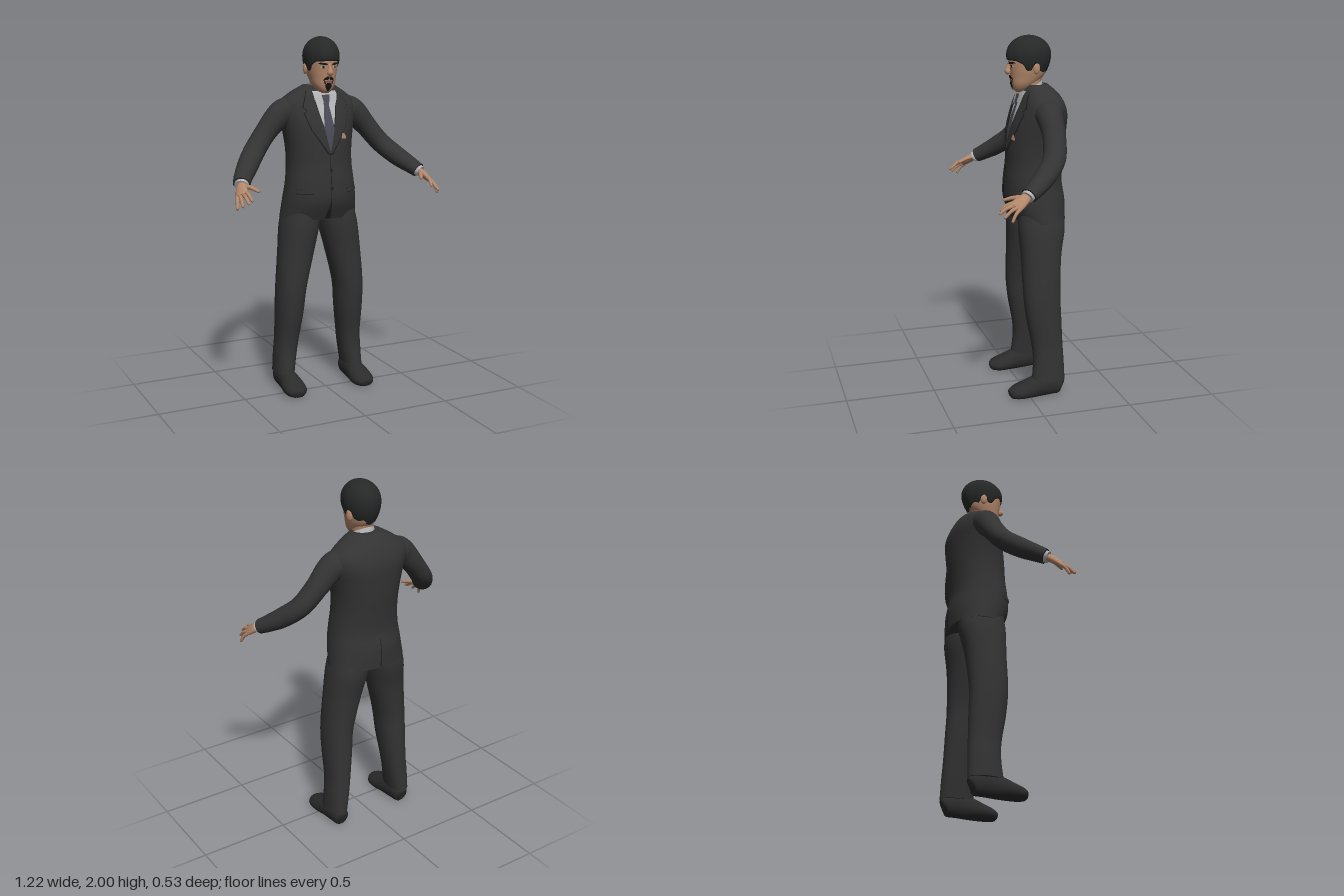
import * as THREE from 'three';

const mat = (name, color, side = THREE.FrontSide) => {
  const m = new THREE.MeshStandardMaterial({ color, side });
  m.name = name;
  return m;
};

export function createModel() {
  const model = new THREE.Group();
  const suit = mat('suit cloth', 0x333333);
  const seam = mat('seam', 0x1e1e1e);
  const hairMat = mat('hair', 0x262828, THREE.DoubleSide);
  const skin = mat('skin', 0xb4886b);
  const shirt = mat('shirt', 0xb6b6b8, THREE.DoubleSide);
  const tieMat = mat('tie', 0x4a4a58);
  const leather = mat('shoe leather', 0x2b2b2b);
  const black = mat('whiskers', 0x161414);
  const lipMat = mat('lips', 0x8c5a4b);
  const V = (x, y, z) => new THREE.Vector3(x, y, z);

  const add = (name, geo, material) => {
    const mesh = new THREE.Mesh(geo, material);
    mesh.name = name;
    model.add(mesh);
    return mesh;
  };

  // Skin over closed rings of points, with flat end caps
  const skinRings = (rings, caps = true) => {
    const pos = [], idx = [], n = rings[0].length;
    const push = p => pos.push(p.x, p.y, p.z) / 3 - 1;
    rings.forEach(r => r.forEach(push));
    for (let i = 0; i < rings.length - 1; i++) for (let j = 0; j < n; j++) {
      const a = i * n + j, b = i * n + (j + 1) % n;
      idx.push(a, b, a + n, b, b + n, a + n);
    }
    if (caps) [rings[0], rings[rings.length - 1]].forEach((r, end) => {
      const first = pos.length / 3;
      r.forEach(push);
      const c = push(r.reduce((s, p) => s.add(p), V(0, 0, 0)).divideScalar(n));
      for (let j = 0; j < n; j++) {
        const a = first + j, b = first + (j + 1) % n;
        end ? idx.push(c, a, b) : idx.push(c, b, a);
      }
    });
    const g = new THREE.BufferGeometry();
    g.setAttribute('position', new THREE.Float32BufferAttribute(pos, 3));
    g.setIndex(idx);
    g.computeVertexNormals();
    return g;
  };
  const spline = pts => new THREE.CatmullRomCurve3(pts, false, 'catmullrom', 0.5);

  // Upright body from horizontal sections [y, x, z, halfWidth, halfDepth]
  const column = (name, secs, material, { n = 2.2, seg = 48, steps = 40, caps = true } = {}) => {
    const centre = spline(secs.map(s => V(s[1], s[0], s[2])));
    const size = spline(secs.map(s => V(s[3], s[4], 0)));
    const at = t => ({ c: centre.getPoint(t), r: size.getPoint(t) });
    const pw = v => Math.sign(v) * Math.abs(v) ** (2 / n);
    const rings = Array.from({ length: steps + 1 }, (_, i) => {
      const { c, r } = at(i / steps);
      return Array.from({ length: seg }, (_, j) => {
        const a = j / seg * Math.PI * 2;
        return V(c.x + r.x * pw(Math.cos(a)), c.y, c.z - r.y * pw(Math.sin(a)));
      });
    });
    const mesh = add(name, skinRings(rings, caps), material);
    // depth of the front (side 1) or back (side -1) surface
    const surf = (x, y, side = 1) => {
      let lo = 0, hi = 1;
      for (let k = 0; k < 24; k++) { const m = (lo + hi) / 2; centre.getPoint(m).y < y ? lo = m : hi = m; }
      const { c, r } = at(lo);
      const q = Math.min(1, Math.abs((x - c.x) / r.x));
      return c.z + side * r.y * (1 - q ** n) ** (1 / n);
    };
    return { mesh, surf };
  };

  // Limb swept along points [x, y, z, halfWidth, halfHeight]
  const limb = (name, secs, material, { ref = V(0, 1, 0), seg = 20, steps = 24 } = {}) => {
    const path = spline(secs.map(s => V(s[0], s[1], s[2])));
    const size = spline(secs.map(s => V(s[3], s[4], 0)));
    const rings = Array.from({ length: steps + 1 }, (_, i) => {
      const t = i / steps, c = path.getPoint(t), r = size.getPoint(t), T = path.getTangent(t);
      const u = T.clone().cross(ref).normalize(), v = T.clone().cross(u);
      return Array.from({ length: seg }, (_, j) => {
        const a = j / seg * Math.PI * 2;
        return c.clone().addScaledVector(u, r.x * Math.cos(a)).addScaledVector(v, r.y * Math.sin(a));
      });
    });
    return add(name, skinRings(rings), material);
  };

  // Thin patch hugging a column; rows [y, x1, x2] from top to bottom
  const patch = (name, surf, rows, off, material, side = 1) => {
    const pos = [], idx = [], cols = 8, sub = 6, lines = (rows.length - 1) * sub;
    for (let i = 0; i <= lines; i++) {
      const k = Math.min(Math.floor(i / sub), rows.length - 2), f = i / sub - k;
      const [y, p, q] = rows[k].map((v, m) => v + (rows[k + 1][m] - v) * f);
      for (let j = 0; j <= cols; j++) {
        const x = Math.min(p, q) + Math.abs(q - p) * j / cols;
        pos.push(x, y, surf(x, y, side) + off * side);
        if (i < lines && j < cols) {
          const a = i * (cols + 1) + j, b = a + cols + 1;
          side > 0 ? idx.push(a, b, a + 1, a + 1, b, b + 1) : idx.push(a, a + 1, b, a + 1, b + 1, b);
        }
      }
    }
    const g = new THREE.BufferGeometry();
    g.setAttribute('position', new THREE.Float32BufferAttribute(pos, 3));
    g.setIndex(idx);
    g.computeVertexNormals();
    return add(name, g, material);
  };
  const flip = (rows, s) => rows.map(([y, a, b]) => [y, a * s, b * s]);

  // Jacket body
  const { surf: coat } = column('jacket', [
    [0.995, 0, -0.11, 0.225, 0.145], [1.1, 0, -0.09, 0.211, 0.165], [1.2, 0, -0.082, 0.197, 0.158],
    [1.3, 0, -0.09, 0.187, 0.155], [1.4, 0, -0.098, 0.19, 0.157], [1.5, 0, -0.108, 0.206, 0.154],
    [1.58, 0, -0.12, 0.225, 0.142], [1.64, 0, -0.122, 0.222, 0.122], [1.69, 0, -0.115, 0.165, 0.1],
    [1.735, 0, -0.1, 0.09, 0.065]], suit, { steps: 60 });

  // Shirt front, tie and jacket trim
  patch('shirtFront', coat, [[1.705, -0.08, 0.08], [1.65, -0.066, 0.066], [1.55, -0.04, 0.04], [1.38, 0, 0]], 0.003, shirt);
  patch('tieBlade', coat, [[1.64, -0.014, 0.014], [1.5, -0.032, 0.032], [1.38, -0.003, 0.003]], 0.006, tieMat);
  patch('tieKnot', coat, [[1.685, -0.024, 0.024], [1.63, -0.014, 0.014]], 0.014, tieMat);
  for (const s of [1, -1]) {
    patch('lapelEdge', coat, flip([[1.705, 0.07, 0.104], [1.62, 0.054, 0.137], [1.6, 0.05, 0.116], [1.59, 0.048, 0.134],
      [1.5, 0.026, 0.104], [1.36, -0.004, 0.014]], s), 0.005, seam);
    patch('lapel', coat, flip([[1.71, 0.074, 0.1], [1.62, 0.058, 0.132], [1.603, 0.054, 0.112], [1.59, 0.051, 0.129],
      [1.5, 0.029, 0.099], [1.37, 0, 0.01]], s), 0.009, suit);
    patch('shirtCollarPoint', coat, flip([[1.7, 0.018, 0.072], [1.66, 0.024, 0.066], [1.62, 0.045, 0.05]], s), 0.012, shirt);
    patch('pocketShadow', coat, flip([[1.172, 0.1, 0.18], [1.145, 0.1, 0.182]], s), 0.003, seam);
    patch('pocketFlap', coat, flip([[1.172, 0.1, 0.18], [1.15, 0.1, 0.182]], s), 0.007, suit);
  }
  patch('frontClosure', coat, [[1.37, -0.002, 0.002], [1.1, -0.003, 0.002], [1, -0.025, 0.012]], 0.003, seam);
  patch('backVent', coat, [[1.16, -0.002, 0.002], [1, -0.004, 0.004]], 0.003, seam, -1);
  for (const y of [1.275, 1.175]) patch('button', coat, [[y + 0.01, -0.004, 0.004], [y, -0.01, 0.01], [y - 0.01, -0.004, 0.004]], 0.007, seam);
  patch('lapelPin', coat, [[1.475, 0.08, 0.09], [1.455, 0.07, 0.104], [1.445, 0.075, 0.102]], 0.012, skin);

  // Neck and shirt collar, the collar sloping down to the front
  column('neck', [[1.66, 0, -0.07, 0.056, 0.056], [1.73, 0, -0.07, 0.055, 0.056], [1.8, 0, -0.075, 0.058, 0.062]], skin);
  const collar = column('shirtCollar', [[1.67, 0, -0.07, 0.074, 0.07], [1.7, 0, -0.07, 0.07, 0.067],
    [1.73, 0, -0.07, 0.063, 0.061]], shirt, { caps: false, n: 2 }).mesh.geometry;
  const cp = collar.attributes.position;
  for (let i = 0; i < cp.count; i++) cp.setY(i, cp.getY(i) - 0.5 * (cp.getZ(i) + 0.07));
  collar.computeVertexNormals();

  // Head
  const { surf: face } = column('head', [
    [1.695, 0, -0.012, 0.02, 0.022], [1.71, 0, -0.016, 0.04, 0.042], [1.74, 0, -0.03, 0.06, 0.066],
    [1.78, 0, -0.05, 0.072, 0.091], [1.82, 0, -0.057, 0.08, 0.103], [1.87, 0, -0.056, 0.083, 0.108],
    [1.92, 0, -0.06, 0.08, 0.102], [1.97, 0, -0.06, 0.05, 0.07], [1.985, 0, -0.06, 0.02, 0.03]], skin);
  limb('nose', [[0, 1.858, 0.043, 0.008, 0.008], [0, 1.83, 0.053, 0.01, 0.012], [0, 1.808, 0.058, 0.017, 0.016],
    [0, 1.797, 0.05, 0.012, 0.01]], skin, { ref: V(0, 0, 1) });
  patch('lips', face, [[1.766, -0.012, 0.012], [1.76, -0.023, 0.023], [1.752, -0.012, 0.012]], 0.004, lipMat);
  patch('goatee', face, [[1.751, -0.01, 0.01], [1.74, -0.02, 0.02], [1.725, -0.016, 0.016], [1.708, -0.005, 0.005]], 0.005, black);
  for (const s of [1, -1]) {
    patch('moustache', face, flip([[1.787, 0.001, 0.012], [1.776, 0.001, 0.028], [1.768, 0.006, 0.031]], s), 0.006, black);
    patch('moustacheEnd', face, flip([[1.768, 0.025, 0.031], [1.745, 0.014, 0.022]], s), 0.005, black);
    patch('eyebrow', face, flip([[1.862, 0.03, 0.052], [1.856, 0.014, 0.06], [1.849, 0.013, 0.032]], s), 0.006, black);
    patch('eyeWhite', face, flip([[1.843, 0.026, 0.042], [1.837, 0.02, 0.05], [1.832, 0.027, 0.042]], s), 0.003, shirt);
    patch('iris', face, flip([[1.844, 0.029, 0.04], [1.832, 0.03, 0.039]], s), 0.005, black);
    const ear = add('ear', new THREE.SphereGeometry(1, 16, 12), skin);
    ear.scale.set(0.012, 0.032, 0.02);
    ear.position.set(s * 0.086, 1.828, -0.08);
    ear.rotation.y = s * 0.3;
  }

  // Hair cap whose lower edge varies from fringe to sideburn to nape
  const edge = [[0, 1.872], [0.8, 1.868], [1.1, 1.85], [1.25, 1.815], [1.5, 1.818], [1.62, 1.855], [1.85, 1.85], [2.05, 1.8], [3.15, 1.778]];
  const edgeY = a => {
    const k = Math.max(1, edge.findIndex(e => e[0] >= a)), [p, q] = [edge[k - 1], edge[k]];
    return p[1] + (q[1] - p[1]) * (a - p[0]) / (q[0] - p[0]);
  };
  const rows = 20;
  add('hair', skinRings(Array.from({ length: rows + 2 }, (_, i) => Array.from({ length: 72 }, (_, j) => {
    const a = j / 72 * Math.PI * 2, low = edgeY(Math.min(a, Math.PI * 2 - a));
    const f = Math.max(0, i - 1) / rows;
    const y = low + (2 - low) * Math.sin(f * Math.PI / 2);
    const d = y - 1.895;
    let k = d > 0 ? Math.sqrt(Math.max(0, 1 - (d / 0.105) ** 2)) : 1 - 25 * d * d;
    k *= 1 + 0.012 * Math.sin(9 * a) * (1 - f);
    if (i === 0) k *= 0.86;
    return V(0.097 * k * Math.sin(a), y, -0.06 + 0.124 * k * Math.cos(a));
  })), false), hairMat);

  for (const s of [1, -1]) {
    const m = secs => secs.map(([x, ...r]) => [x * s, ...r]);

    // Sleeve and shirt cuff
    limb('sleeve', m([[0.13, 1.605, -0.115, 0.06, 0.06], [0.19, 1.592, -0.115, 0.076, 0.076], [0.24, 1.562, -0.112, 0.068, 0.072],
      [0.31, 1.487, -0.108, 0.062, 0.06], [0.39, 1.39, -0.08, 0.062, 0.056], [0.46, 1.318, -0.01, 0.058, 0.054],
      [0.51, 1.272, 0.055, 0.051, 0.046], [0.537, 1.245, 0.1, 0.047, 0.04]]), suit, { seg: 28, steps: 40 });
    limb('shirtCuff', m([[0.53, 1.252, 0.09, 0.038, 0.032], [0.544, 1.238, 0.113, 0.038, 0.032]]), shirt, { steps: 2 });

    // Hand
    const ref = V(-0.6 * s, -0.675, -0.165);
    limb('palm', m([[0.535, 1.247, 0.1, 0.024, 0.02], [0.552, 1.226, 0.135, 0.032, 0.02],
      [0.562, 1.207, 0.165, 0.037, 0.016], [0.569, 1.196, 0.182, 0.034, 0.011]]), skin, { ref });
    [[-0.027, 0.537, 1.178, 0.249], [-0.009, 0.56, 1.166, 0.26], [0.009, 0.585, 1.15, 0.24], [0.026, 0.602, 1.132, 0.205]]
      .forEach(([k, x, y, z]) => {
        const b = [0.565 + 0.7 * k, 1.2 - 0.5 * k, 0.174 - 0.5 * k];
        limb('finger', m([[...b, 0.011, 0.011], [(b[0] + x) / 2 + 0.002, (b[1] + y) / 2 + 0.007, (b[2] + z) / 2 + 0.003, 0.0095, 0.0095],
          [x, y, z, 0.007, 0.007], [x, y - 0.003, z + 0.002, 0.002, 0.002]]), skin, { seg: 10, steps: 12, ref });
      });
    limb('thumb', m([[0.535, 1.238, 0.125, 0.014, 0.013], [0.51, 1.232, 0.175, 0.012, 0.011], [0.489, 1.219, 0.216, 0.008, 0.008],
      [0.486, 1.217, 0.221, 0.002, 0.002]]), skin, { seg: 10, steps: 12 });

    // Trouser leg
    column('trouserLeg', [[0.09, 0.217, -0.115, 0.055, 0.095], [0.2, 0.206, -0.118, 0.062, 0.088], [0.3, 0.196, -0.112, 0.066, 0.089],
      [0.45, 0.187, -0.095, 0.077, 0.1], [0.6, 0.178, -0.085, 0.084, 0.105], [0.8, 0.146, -0.09, 0.1, 0.113],
      [0.95, 0.12, -0.1, 0.109, 0.13], [1.05, 0.105, -0.1, 0.1, 0.125]].map(([y, x, ...r]) => [y, x * s, ...r]), suit, { seg: 36 });

    // Shoe, flattened on the ground
    const shoe = limb('shoe', m([[0.212, 0.045, -0.196, 0.02, 0.03], [0.212, 0.05, -0.18, 0.043, 0.055], [0.212, 0.055, -0.12, 0.05, 0.066],
      [0.212, 0.05, -0.05, 0.056, 0.064], [0.212, 0.035, 0.02, 0.066, 0.05], [0.212, 0.026, 0.075, 0.06, 0.038],
      [0.21, 0.022, 0.105, 0.036, 0.026], [0.21, 0.02, 0.114, 0.012, 0.012]]), leather, { seg: 28 }).geometry;
    const sp = shoe.attributes.position;
    for (let i = 0; i < sp.count; i++) sp.setY(i, Math.max(0, sp.getY(i)));
    shoe.computeVertexNormals();
  }
  return model;
}
